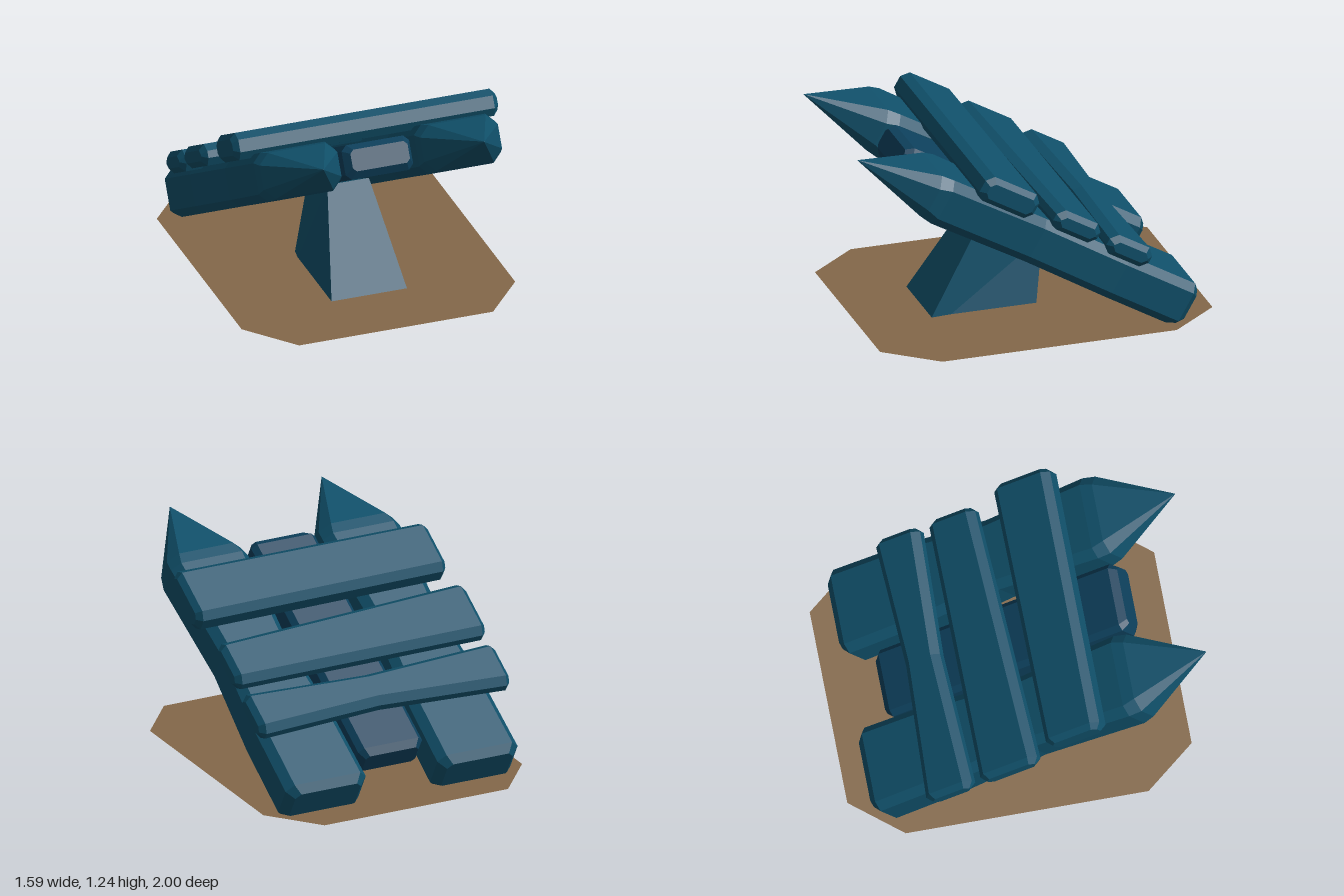
import * as THREE from 'three';

const material = (color) => new THREE.MeshStandardMaterial({ color, flatShading: true, side: THREE.DoubleSide });
const plankMat = material(0x10506a);
const centreMat = material(0x0d405c);
const groundMat = material(0x846849);

// Solid through chamfered rectangles [l, a0, a1, b0, b1, chamfer] placed along an axis.
function loft(sections, alongX) {
  const pos = [], index = [];
  const push = (a, b, l) => (alongX ? pos.push(l, a, b) : pos.push(a, b, l));
  for (const [l, a0, a1, b0, b1, c] of sections) {
    push(a0 + c, b0, l); push(a1 - c, b0, l);
    push(a1, b0 + c, l); push(a1, b1 - c, l);
    push(a1 - c, b1, l); push(a0 + c, b1, l);
    push(a0, b1 - c, l); push(a0, b0 + c, l);
  }
  const last = (sections.length - 1) * 8;
  for (let r = 0; r < last; r += 8) {
    for (let i = 0; i < 8; i++) {
      const j = (i + 1) % 8;
      index.push(r + i, r + j, r + 8 + j, r + i, r + 8 + j, r + 8 + i);
    }
  }
  for (let i = 1; i < 7; i++) {
    index.push(0, i + 1, i, last, last + i, last + i + 1);
  }
  const g = new THREE.BufferGeometry();
  g.setAttribute('position', new THREE.Float32BufferAttribute(pos, 3));
  g.setIndex(index);
  const flat = g.toNonIndexed();
  flat.computeVertexNormals();
  return flat;
}

function addMesh(parent, name, geometry, mat) {
  const mesh = new THREE.Mesh(geometry, mat);
  mesh.name = name;
  parent.add(mesh);
  return mesh;
}

// Long pointed beam with a narrow waist
function stake(x) {
  const profile = [
    // along, half width, bottom, top, chamfer
    [-0.63, 0.2, 0.48, 0.68, 0.03],
    [-0.585, 0.245, 0.45, 0.715, 0.045],
    [-0.15, 0.24, 0.45, 0.715, 0.045],
    [0.38, 0.203, 0.45, 0.715, 0.045],
    [1.0, 0.235, 0.448, 0.72, 0.05],
    [1.07, 0.225, 0.458, 0.712, 0.06],
    [1.483, 0.001, 0.569, 0.571, 0],
  ];
  return loft(profile.map(([l, w, b0, b1, c]) => [l, x - w, x + w, b0, b1, c]), false);
}

// Cross board from stations [x, low edge, high edge]; its ends are bevelled
function board(stations, bottom, top) {
  const c = 0.04, e = 0.03;
  const ring = ([x, s0, s1], shift = 0, inset = 0) =>
    [x + shift, bottom + inset, top - inset, s0 + inset, s1 - inset, c - inset / 2];
  const first = stations[0], last = stations[stations.length - 1];
  return loft([
    ring(first, 0, e), ring(first, e),
    ...stations.slice(1, -1).map((s) => ring(s)),
    ring(last, -e), ring(last, 0, e),
  ], true);
}

// Tapered post, open underneath, its top following the slope of the ramp
function standGeometry() {
  const g = new THREE.BoxGeometry(1, 1, 1);
  const p = g.attributes.position;
  for (let i = 0; i < p.count; i++) {
    const side = Math.sign(p.getX(i)), front = p.getZ(i) > 0;
    if (p.getY(i) < 0) p.setXYZ(i, side * 0.24 - 0.005, 0, front ? 0.565 : -0.09);
    else p.setXYZ(i, side * 0.12 - 0.005, front ? 0.65 : 0.47, front ? 0.155 : -0.175);
  }
  const idx = Array.from(g.index.array);
  idx.splice(18, 6); // leave out the bottom face
  g.setIndex(idx);
  g.clearGroups();
  g.computeVertexNormals();
  return g;
}

export function createModel() {
  const model = new THREE.Group();
  model.name = 'woodenRamp';

  // Ground patch with cut corners; the post and beam ends sink through it
  const outline = [
    [-0.56, 1], [-0.79, 0.72], [-0.79, -0.62], [-0.56, -0.9],
    [0.56, -0.9], [0.79, -0.62], [0.79, 0.72], [0.56, 1],
  ];
  const shape = new THREE.Shape(outline.map(([x, y]) => new THREE.Vector2(x, y)));
  const ground = addMesh(model, 'ground', new THREE.ShapeGeometry(shape).rotateX(-Math.PI / 2), groundMat);
  ground.position.y = 0.12;

  addMesh(model, 'stand', standGeometry(), plankMat);

  // Everything on the ramp is built flat, then tilted
  const ramp = new THREE.Group();
  ramp.name = 'ramp';
  ramp.rotation.x = -Math.PI / 6;
  model.add(ramp);

  addMesh(ramp, 'rightStake', stake(-0.455), plankMat);
  addMesh(ramp, 'leftStake', stake(0.472), plankMat);

  // Short middle plank
  addMesh(ramp, 'centrePlank', loft([
    [-0.45, -0.165, 0.155, 0.53, 0.65, 0.02],
    [-0.41, -0.2, 0.19, 0.49, 0.68, 0.03],
    [1.05, -0.2, 0.19, 0.49, 0.68, 0.03],
    [1.09, -0.165, 0.165, 0.53, 0.65, 0.02],
  ], false), centreMat);

  // Three uneven cross boards
  addMesh(ramp, 'upperBoard', board([[-0.745, 0.545, 0.885], [0.785, 0.53, 0.885]], 0.7, 0.85), plankMat);
  addMesh(ramp, 'middleBoard', board([[-0.795, 0.1, 0.46], [0.735, 0.09, 0.38]], 0.7, 0.82), plankMat);
  addMesh(ramp, 'lowerBoard', board(
    [[-0.79, -0.25, 0.04], [0, -0.215, 0], [0.74, -0.255, 0.025]], 0.69, 0.81), plankMat);

  return model;
}
